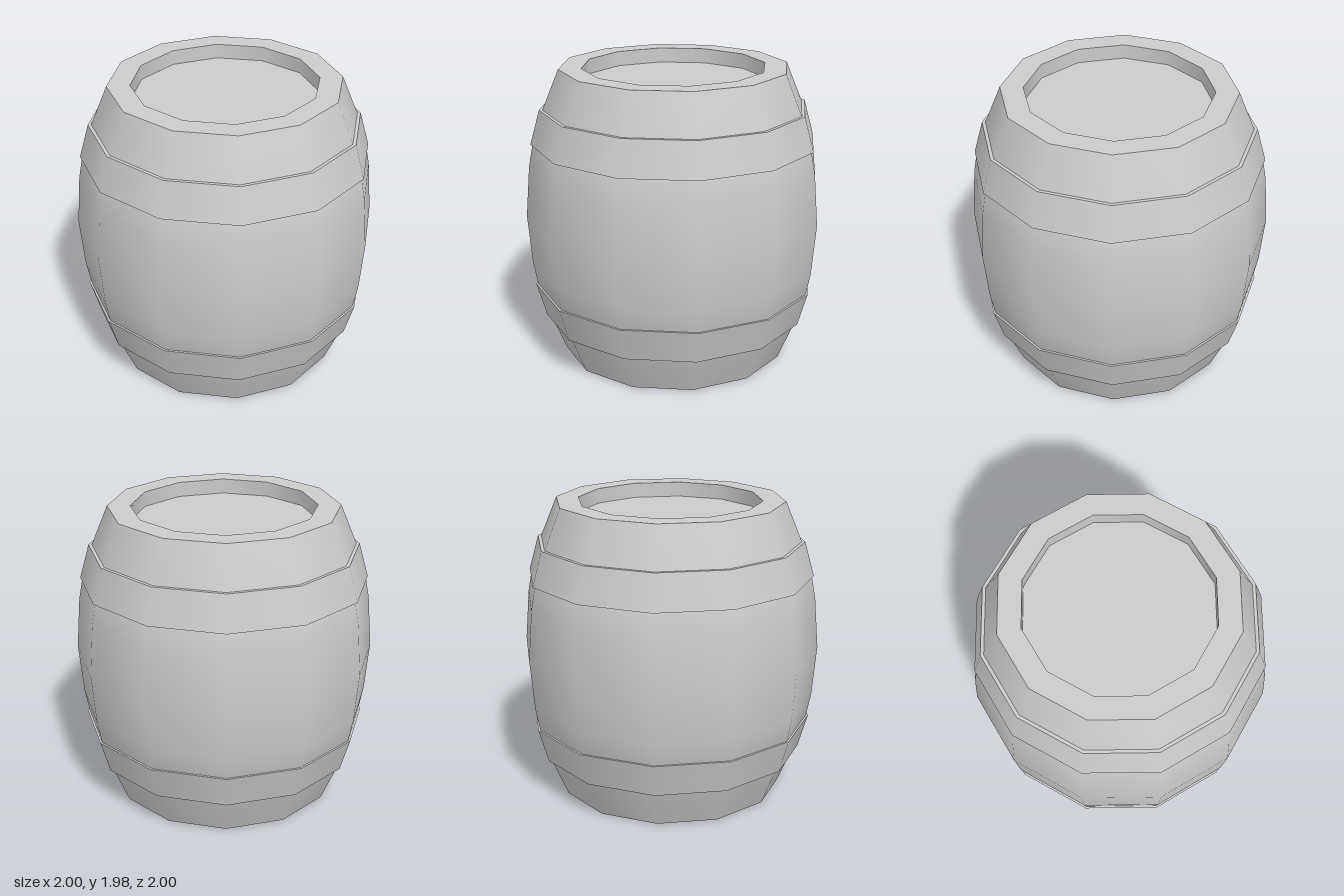
import * as THREE from 'three';

const SIDES = 12;
const H = 1.98;
const material = new THREE.MeshStandardMaterial({ color: 0xcccccc, side: THREE.DoubleSide });

// One smooth turned surface; separate surfaces meet at sharp edges.
function turned(name, profile) {
  const points = profile.map(([r, y]) => new THREE.Vector2(r, y));
  const mesh = new THREE.Mesh(new THREE.LatheGeometry(points, SIDES), material);
  mesh.name = name;
  return mesh;
}

// Closed ring around the staves: outer face, rims and inner face.
function hoop(name, lowY, lowR, highY, highR) {
  const t = 0.03;
  const corners = [[lowR, lowY], [highR, highY], [highR - t, highY], [lowR - t, lowY]];
  const group = new THREE.Group();
  group.name = name;
  ['outerFace', 'upperRim', 'innerFace', 'lowerRim'].forEach((part, i) => {
    group.add(turned(part, [corners[i], corners[(i + 1) % 4]]));
  });
  return group;
}

export function createModel() {
  const barrel = new THREE.Group();
  barrel.name = 'barrel';

  // Bulging staves, mirrored about mid height
  const half = [[0.76, 0], [0.87, 0.265], [0.942, 0.49], [0.972, 0.65]];
  const upper = half.map(([r, y]) => [r, H - y]).reverse();
  barrel.add(turned('staves', [...half, [1, H / 2], ...upper]));

  // Top rim with a recessed lid
  const lidY = H - 0.1;
  barrel.add(turned('topRim', [[0.76, H], [0.61, H]]));
  barrel.add(turned('topRecessWall', [[0.61, H], [0.61, lidY]]));
  barrel.add(turned('lid', [[0.61, lidY], [0, lidY]]));

  // Open bottom rim
  barrel.add(turned('bottomRecessWall', [[0.61, 0.1], [0.61, 0]]));
  barrel.add(turned('bottomRim', [[0.61, 0], [0.76, 0]]));

  // Two hoops, mirrored
  barrel.add(hoop('lowerHoop', 0.265, 0.892, 0.495, 0.957));
  barrel.add(hoop('upperHoop', H - 0.495, 0.957, H - 0.265, 0.892));

  return barrel;
}
